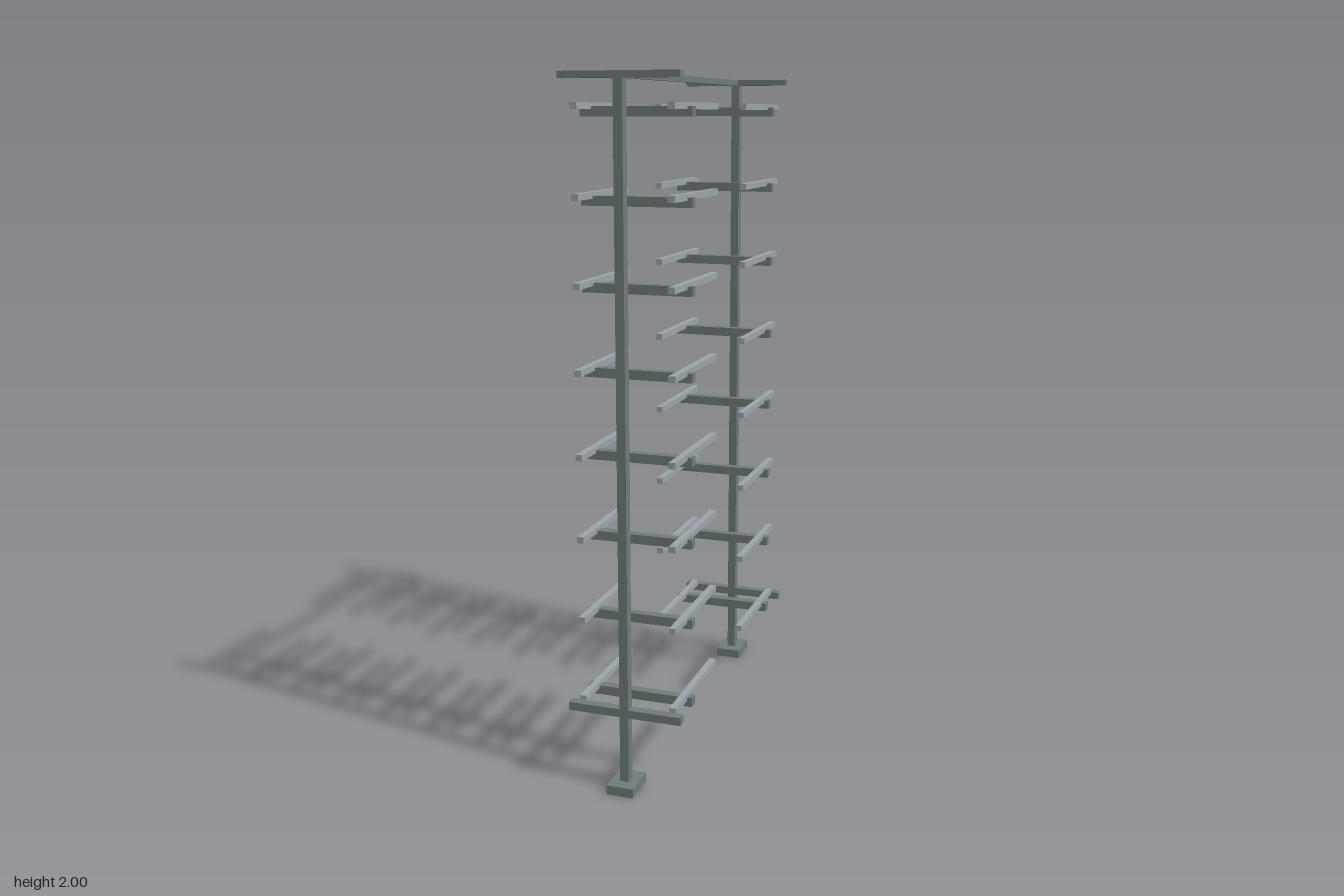
import * as THREE from 'three';

export function createModel() {
  const model = new THREE.Group();
  model.name = 'storageRack';
  const steel = new THREE.MeshStandardMaterial({ color: 0x6f7b7c });
  steel.name = 'dark steel';
  const lightSteel = new THREE.MeshStandardMaterial({ color: 0x9aa4a9 });
  lightSteel.name = 'light steel';

  // Box given by its centre and size
  function bar(name, parent, material, size, position) {
    const mesh = new THREE.Mesh(new THREE.BoxGeometry(...size), material);
    mesh.name = name;
    mesh.position.set(...position);
    parent.add(mesh);
  }

  const levels = 8, firstLevel = 0.25, levelStep = 0.2375;

  for (const side of [1, -1]) {
    const frame = new THREE.Group();
    frame.name = side > 0 ? 'frontFrame' : 'backFrame';
    model.add(frame);
    const postZ = side * 0.532;

    // Upright on its foot, with end bars at the top and bottom
    bar('foot', frame, steel, [0.08, 0.027, 0.108], [0, 0.0135, postZ]);
    bar('post', frame, steel, [0.026, 1.972, 0.03], [0, 1.013, postZ]);
    bar('topEndBar', frame, steel, [0.338, 0.018, 0.028], [0, 1.991, postZ]);
    bar('bottomEndBar', frame, steel, [0.338, 0.024, 0.028], [0, 0.234, postZ]);

    // Shelf levels: a crossbar under a pair of arms
    for (let i = 0; i < levels; i++) {
      const y = firstLevel + i * levelStep;
      const level = new THREE.Group();
      level.name = 'level' + (i + 1);
      frame.add(level);
      bar('crossbar', level, steel, [0.32, 0.027, 0.028], [0, y - 0.0145, side * 0.404]);
      for (const x of [-0.136, 0.136]) {
        bar('arm', level, lightSteel, [0.02, 0.018, 0.376], [x, y, side * 0.331]);
      }
    }
  }

  // Long rail joining the two uprights
  bar('topRail', model, steel, [0.016, 0.018, 1.04], [0, 1.991, 0]);
  return model;
}
